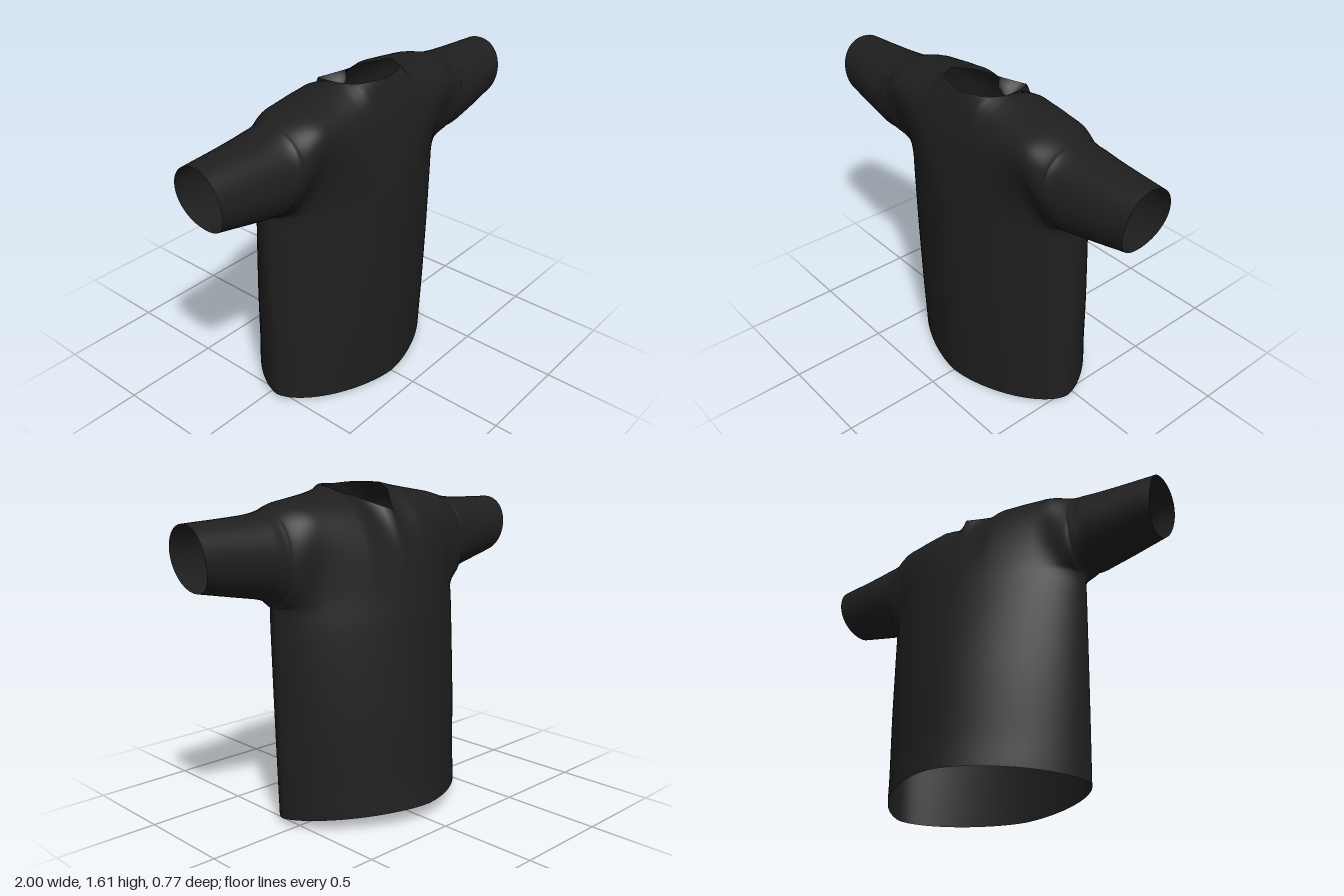
import * as THREE from 'three';
import { mergeGeometries, mergeVertices } from 'three/addons/utils/BufferGeometryUtils.js';

const SIDE = 0.575;   // half width of the body at the armpit
const PIT = 1.07;     // height where the body meets the yoke and sleeves
const MID = 0.06;     // z of the side seam
const NECK = 0.1899;  // half width of the neck opening
const COLS = 28, SLEEVE_COLS = 20, ROWS = 24;

// Smooth interpolation through [position, value] pairs, without overshoot
function at(table, p) {
  const last = table.length - 1;
  if (p <= table[0][0]) return table[0][1];
  if (p >= table[last][0]) return table[last][1];
  const rise = (i) => (table[i + 1][1] - table[i][1]) / (table[i + 1][0] - table[i][0]);
  const slope = (i) => {
    if (i === 0) return rise(0);
    if (i === last) return rise(last - 1);
    const a = rise(i - 1), b = rise(i);
    return a * b <= 0 ? 0 : 2 * a * b / (a + b);
  };
  let i = 0;
  while (p > table[i + 1][0]) i++;
  const w = table[i + 1][0] - table[i][0], t = (p - table[i][0]) / w;
  const ease = t * t * (3 - 2 * t);
  return table[i][1] * (1 - ease) + table[i + 1][1] * ease
    + w * t * (1 - t) * ((1 - t) * slope(i) - t * slope(i + 1));
}

// Body shape by height
const bodyWidth = [[0, 0.55], [0.5, 0.563], [1, SIDE]];
const bodyDepth = {
  front: [[0, 0.36], [0.4, 0.378], [0.8, 0.385], [1.1, 0.385]],
  back: [[0.08, -0.385], [0.2, -0.37], [0.5, -0.35], [0.8, -0.315], [1, -0.285], [1.1, -0.263]],
};

// Yoke and sleeve shape by distance from the centre line
const bottomY = [[SIDE, PIT], [0.585, 1.09], [0.61, 1.11], [0.66, 1.125], [0.8, 1.15], [1, 1.185]];
const bottomZ = [[SIDE, MID], [0.64, 0.105], [1, 0.118]];
const ridgeY = [[NECK, 1.606], [0.24, 1.592], [0.33, 1.574], [0.47, 1.548], [0.6, 1.515], [0.7, 1.503], [1, 1.49]];
const ridgeZ = [[NECK, 0.16], [0.3, 0.125], [0.5, 0.11], [1, 0.118]];
const rimY = {
  front: [[0, 1.602], [0.1, 1.607], [NECK, 1.606]],
  back: [[0, 1.5], [0.08, 1.54], [0.15, 1.58], [NECK, 1.606]],
};
const rimZ = {
  front: [[0, 0.28], [0.1, 0.26], [0.16, 0.225], [NECK, 0.16]],
  back: [[0, -0.13], [0.08, -0.03], [0.15, 0.06], [NECK, 0.16]],
};
const middleZ = {
  front: [[0, 0.355], [0.1, 0.347], [0.2, 0.336], [0.3, 0.326], [0.5, 0.305], [0.6, 0.296], [0.8, 0.275], [1, 0.25]],
  back: [[0, -0.212], [0.1, -0.18], [0.2, -0.15], [0.3, -0.13], [0.5, -0.09], [0.6, -0.075], [0.8, -0.045], [1, -0.02]],
};
const lowHandle = [[0, 0.14], [0.3, 0.24], [0.45, 0.22], [0.55, 0.1], [0.6, 0]];
const highHandle = [[0, 0.14], [0.1, 0.1], [0.2, 0.03], [0.3, 0.02], [0.6, 0]];

// Depth of the body outline at height y, s = 0 centre to 1 side seam
function bodyZ(s, y, face) {
  const p = 1.62;
  const k = Math.pow(Math.max(0, 1 - Math.pow(Math.abs(s), p)), 1 / p);
  return MID + (at(bodyDepth[face], y) - MID) * k;
}

// Body: straight panel from the sloping hem up to the armpit
function bodyPoint(s, v, face) {
  const hem = 0.04 - 0.11 * bodyZ(s, 0, face);
  const y = hem + (PIT - hem) * v;
  return [s * at(bodyWidth, y), y, bodyZ(s, y, face)];
}

// Yoke and sleeves: a curve from the lower edge up to the shoulder ridge or neck rim
function yokePoint(x, t, face) {
  const d = Math.abs(x);
  const inNeck = d < NECK - 1e-4, inBody = d < SIDE - 1e-6;
  const y0 = at(bottomY, d), y3 = at(inNeck ? rimY[face] : ridgeY, d);
  const z0 = inBody ? bodyZ(d / SIDE, PIT, face) : at(bottomZ, d);
  const z3 = at(inNeck ? rimZ[face] : ridgeZ, d);
  const bulge = (at(middleZ[face], d) - (z0 + z3) / 2) / 0.375;
  // Follow the body's slope near the centre, turn into a round sleeve at the side
  const low = at(lowHandle, d);
  const slope = inBody ? (z0 - bodyZ(d / SIDE, PIT - 0.05, face)) / 0.05 : 0;
  const round = THREE.MathUtils.smoothstep(d, 0.42, 0.6);
  const lowBulge = low * slope * (1 - round) + bulge / 2 * round;
  const y1 = y0 + low, z1 = z0 + lowBulge;
  const y2 = y3 - at(highHandle, d), z2 = z3 + bulge - lowBulge;
  const u = 1 - t;
  const bez = (a, b, c, e) => a * u * u * u + 3 * b * u * u * t + 3 * c * u * t * t + e * t * t * t;
  const y = bez(y0, y1, y2, y3);
  // The cuff is cut at a slant, shorter underneath
  const drop = (y3 - y) / (y3 - y0);
  const cut = 0.045 * drop * drop * Math.max(0, (d - 0.7) / 0.3);
  return [x - Math.sign(x) * cut, y, bez(z0, z1, z2, z3)];
}

// Facing: a narrow band of cloth turned in below the back of the neck
function facingPoint(x, t) {
  const d = Math.abs(x);
  const y = at(rimY.back, d), z = at(rimZ.back, d);
  const inner = Math.max(z, -0.02);
  return [x, y - 0.05 * t, z + (inner - z) * t];
}

// Grid of points over the given columns, facing outward
function sheet(columns, point, face) {
  const pos = [], idx = [], n = ROWS + 1;
  columns.forEach((c, i) => {
    for (let j = 0; j <= ROWS; j++) {
      pos.push(...point(c, j / ROWS, face));
      if (i === 0 || j === 0) continue;
      const a = (i - 1) * n + j - 1, b = i * n + j - 1;
      if (face === 'front') idx.push(a, b, b + 1, a, b + 1, a + 1);
      else idx.push(a, b + 1, b, a, a + 1, b + 1);
    }
  });
  const g = new THREE.BufferGeometry();
  g.setAttribute('position', new THREE.Float32BufferAttribute(pos, 3));
  g.setIndex(idx);
  return g;
}

export function createModel() {
  const cloth = new THREE.MeshStandardMaterial({ color: 0x1f1f1f, side: THREE.DoubleSide });
  cloth.name = 'charcoal cloth';

  // Columns crowd toward the side seams, then run evenly along the sleeves
  const half = [];
  for (let k = 1; k <= COLS; k++) half.push(Math.sin(k / COLS * Math.PI / 2));
  const mirror = (list) => [...list.map((v) => -v).reverse(), 0, ...list];
  const yokeHalf = half.map((s) => s * SIDE);
  for (let k = 1; k <= SLEEVE_COLS; k++) {
    yokeHalf.push(SIDE + (1 - SIDE) * Math.pow(k / SLEEVE_COLS, 1.4));
  }

  // Sew all panels into one smooth garment, open at hem, cuffs and neck
  const panels = [];
  for (const face of ['front', 'back']) {
    panels.push(sheet(mirror(half), bodyPoint, face));
    panels.push(sheet(mirror(yokeHalf), yokePoint, face));
  }
  const geometry = mergeVertices(mergeGeometries(panels), 1e-4);
  geometry.computeVertexNormals();
  const shirt = new THREE.Mesh(geometry, cloth);
  shirt.name = 'shirt';

  const band = sheet(mirror([0.02, 0.04, 0.06, 0.08]), facingPoint, 'front');
  band.computeVertexNormals();
  const facing = new THREE.Mesh(band, cloth);
  facing.name = 'neckFacing';

  const group = new THREE.Group();
  group.name = 'shortSleevedShirt';
  group.add(shirt, facing);
  return group;
}
